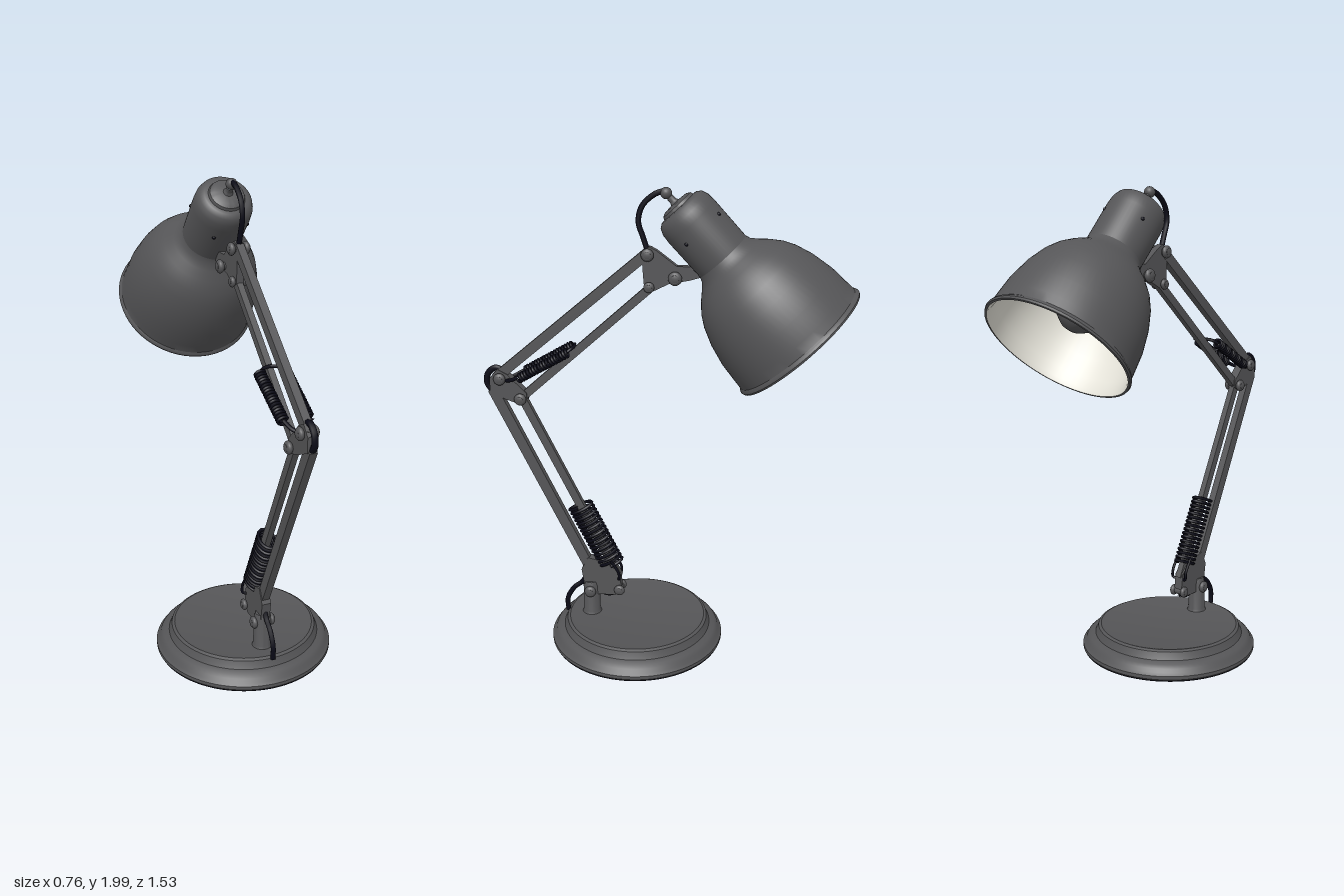
import * as THREE from 'three';
import { toCreasedNormals } from 'three/addons/utils/BufferGeometryUtils.js';

const mat = (name, color, side = THREE.FrontSide) => {
  const m = new THREE.MeshStandardMaterial({ color, side });
  m.name = name;
  return m;
};

export function createModel() {
  const grey = mat('charcoal enamel', 0x555557);
  const black = mat('black rubber and spring steel', 0x0a0a16);
  const cream = mat('cream shade lining', 0xe6e4da);
  const model = new THREE.Group();
  model.name = 'deskLamp';

  const add = (name, geo, material, parent = model) => {
    const m = new THREE.Mesh(geo, material);
    m.name = name;
    parent.add(m);
    return m;
  };
  const lathe = (pts, seg = 64) =>
    toCreasedNormals(new THREE.LatheGeometry(pts.map(p => new THREE.Vector2(...p)), seg), 0.6);
  // positions are given as [x, y, z]
  const v = p => new THREE.Vector3(...p);

  // flat bar between two points
  const bar = (name, a, b, w, d) => {
    const A = v(a), B = v(b);
    const m = add(name, new THREE.BoxGeometry(w, A.distanceTo(B), d), grey);
    m.position.copy(A).add(B).multiplyScalar(0.5);
    m.quaternion.setFromUnitVectors(new THREE.Vector3(0, 1, 0), B.sub(A).normalize());
  };
  // plate lying in the z-y plane, outlined by [z, y] points
  const plate = (name, pts, thick) => {
    const g = new THREE.ExtrudeGeometry(new THREE.Shape(pts.map(p => new THREE.Vector2(...p))),
      { depth: thick, bevelEnabled: false });
    g.translate(0, 0, -thick / 2);
    g.rotateY(-Math.PI / 2);
    add(name, g, grey);
  };
  // bolt across x with a rounded nut at each side
  const bolt = (name, y, z, half, r) => {
    const g = new THREE.Group();
    g.name = name;
    g.position.set(0, y, z);
    const shaft = add('boltShaft', new THREE.CylinderGeometry(r * 0.6, r * 0.6, half * 2, 16), grey, g);
    shaft.rotation.z = Math.PI / 2;
    for (const s of [-1, 1]) {
      const nut = add('boltNut', new THREE.SphereGeometry(r, 16, 10), grey, g);
      nut.scale.x = 0.6;
      nut.position.x = s * (half - r * 0.5);
    }
    model.add(g);
  };
  const wire = (name, pts, r = 0.011) =>
    add(name, new THREE.TubeGeometry(new THREE.CatmullRomCurve3(pts.map(v)), 32, r, 8), black);

  // coil spring: oval helix, rx across x and rp across the other direction
  class Helix extends THREE.Curve {
    constructor(a, b, rx, rp, turns) {
      super();
      this.a = v(a); this.b = v(b);
      this.turns = turns; this.rx = rx; this.rp = rp;
      this.side = this.b.clone().sub(this.a).normalize().cross(new THREE.Vector3(1, 0, 0));
    }
    getPoint(t, out = new THREE.Vector3()) {
      const k = t * this.turns * Math.PI * 2;
      out.lerpVectors(this.a, this.b, t).addScaledVector(this.side, Math.sin(k) * this.rp);
      out.x += Math.cos(k) * this.rx;
      return out;
    }
  }
  const spring = (name, a, b, rx, rp, turns, r) =>
    add(name, new THREE.TubeGeometry(new Helix(a, b, rx, rp, turns), turns * 18, r, 6), black);

  // base: stepped round foot with a dark underside
  const base = add('base', lathe([[0.375, 0.004], [0.38, 0.01], [0.38, 0.025], [0.368, 0.035], [0.362, 0.05],
    [0.348, 0.062], [0.325, 0.07], [0.318, 0.085], [0.312, 0.102], [0.3, 0.108], [0.285, 0.104], [0, 0.104]], 80), grey);
  base.position.z = 0.125;
  const pad = add('basePad', new THREE.CylinderGeometry(0.375, 0.375, 0.005, 80), black);
  pad.position.set(0, 0.0025, 0.125);
  const post = add('post', lathe([[0.044, 0.1], [0.038, 0.115], [0.036, 0.24], [0.03, 0.26], [0, 0.26]], 32), grey);
  post.position.z = 0.33;

  // lower knuckle
  plate('baseKnuckle', [[0.355, 0.22], [0.3, 0.2], [0.22, 0.2], [0.19, 0.23], [0.2, 0.31], [0.25, 0.36], [0.34, 0.38], [0.37, 0.32]], 0.04);
  bolt('postBolt', 0.22, 0.33, 0.052, 0.026);
  bolt('knuckleBolt', 0.23, 0.2, 0.04, 0.024);
  wire('knuckleWire', [[0, 0.21, 0.3], [0, 0.196, 0.25], [0, 0.22, 0.19]]);

  // lower parallel arms
  bar('lowerArm', [0, 0.31, 0.325], [0, 1.15, 0.725], 0.032, 0.044);
  bar('lowerLinkArm', [0, 0.29, 0.205], [0, 1.12, 0.605], 0.026, 0.034);
  spring('lowerSpring', [0, 0.63, 0.372], [0, 0.35, 0.235], 0.034, 0.052, 17, 0.007);
  for (const s of [-1, 1])
    wire('lowerSpringHook', [[s * 0.035, 0.38, 0.235], [s * 0.036, 0.32, 0.2], [s * 0.034, 0.29, 0.2], [0, 0.285, 0.21]], 0.006);

  // elbow
  plate('elbowPlate', [[0.735, 1.14], [0.735, 1.2], [0.7, 1.24], [0.66, 1.22], [0.58, 1.14], [0.58, 1.11], [0.61, 1.09], [0.67, 1.11]], 0.04);
  bolt('elbowBoltFront', 1.2, 0.69, 0.042, 0.026);
  bolt('elbowBoltBack', 1.115, 0.605, 0.044, 0.026);
  wire('elbowCable', [[0, 1.22, 0.66], [0, 1.242, 0.71], [0, 1.215, 0.745], [0, 1.17, 0.75], [0, 1.13, 0.715]], 0.013);

  // upper parallel arms with a pair of springs
  bar('upperArm', [0, 1.2, 0.71], [0, 1.74, 0.065], 0.032, 0.042);
  bar('upperLinkArm', [0, 1.11, 0.61], [0, 1.61, 0.045], 0.026, 0.034);
  for (const s of [-1, 1]) {
    spring('upperSpring', [s * 0.05, 1.215, 0.6], [s * 0.052, 1.335, 0.39], 0.02, 0.016, 18, 0.006);
    wire('upperSpringHook', [[s * 0.05, 1.22, 0.6], [s * 0.035, 1.2, 0.64], [s * 0.01, 1.19, 0.67]], 0.008);
    wire('upperSpringTip', [[s * 0.052, 1.33, 0.4], [s * 0.035, 1.345, 0.38], [0, 1.35, 0.37]], 0.007);
  }

  // head bracket
  plate('headBracket', [[0.09, 1.74], [0.06, 1.765], [0.03, 1.75], [-0.05, 1.69], [-0.13, 1.69], [-0.15, 1.65],
    [-0.1, 1.635], [-0.02, 1.62], [0.05, 1.585], [0.08, 1.6], [0.085, 1.66]], 0.03);
  bolt('bracketTopBolt', 1.735, 0.065, 0.044, 0.026);
  bolt('bracketLowBolt', 1.605, 0.06, 0.036, 0.022);
  bolt('bracketTiltBolt', 1.645, -0.045, 0.048, 0.028);

  // lamp head, tilted about x; local origin is the centre of the rim
  const head = new THREE.Group();
  head.name = 'lampHead';
  head.position.set(0, 1.395, -0.54);
  head.rotation.x = 0.748;
  model.add(head);
  const bowl = [[0.296, 0.02], [0.293, 0.06], [0.286, 0.14], [0.266, 0.23], [0.24, 0.3], [0.214, 0.345],
    [0.18, 0.385], [0.148, 0.415], [0.126, 0.44]];
  add('shade', lathe([[0.294, -0.004], [0.303, -0.003], [0.306, 0.005], [0.303, 0.013], ...bowl, [0.119, 0.46]]), grey, head);
  add('shadeLining', lathe([[0, 0.435], [0.11, 0.435], ...bowl.slice().reverse().map(([r, y]) => [r - 0.008, y - 0.003]),
    [0.294, -0.004]]), cream, head);
  add('socketHousing', lathe([[0.119, 0.45], [0.12, 0.64], [0.117, 0.675], [0.107, 0.7], [0.09, 0.712], [0.075, 0.714],
    [0.07, 0.725], [0.055, 0.733], [0.02, 0.736], [0.014, 0.745], [0.014, 0.765]], 48), grey, head);
  add('cableKnob', new THREE.SphereGeometry(0.023, 20, 14), grey, head).position.y = 0.785;
  for (let i = 0; i < 4; i++) {
    const a = 0.47 + i * Math.PI / 2;
    const s = add('housingScrew', new THREE.SphereGeometry(0.008, 10, 8), black, head);
    s.position.set(Math.sin(a) * 0.118, 0.595, -Math.cos(a) * 0.118);
  }
  // bulb and its holder
  add('bulbHolder', new THREE.CylinderGeometry(0.045, 0.05, 0.14, 32), grey, head).position.y = 0.37;
  add('bulb', lathe([[0, 0.1], [0.045, 0.11], [0.08, 0.14], [0.092, 0.185], [0.083, 0.23], [0.06, 0.275], [0.042, 0.32]], 40), grey, head);

  // cables at the head and at the foot
  wire('headCable', [[0, 1.98, 0], [0, 1.965, 0.04], [0, 1.92, 0.088], [0, 1.86, 0.103], [0, 1.8, 0.085], [0, 1.74, 0.065]]);
  wire('footCable', [[0, 0.1, 0.44], [0, 0.16, 0.44], [0, 0.215, 0.41], [0, 0.25, 0.37], [0, 0.31, 0.34]]);
  return model;
}
